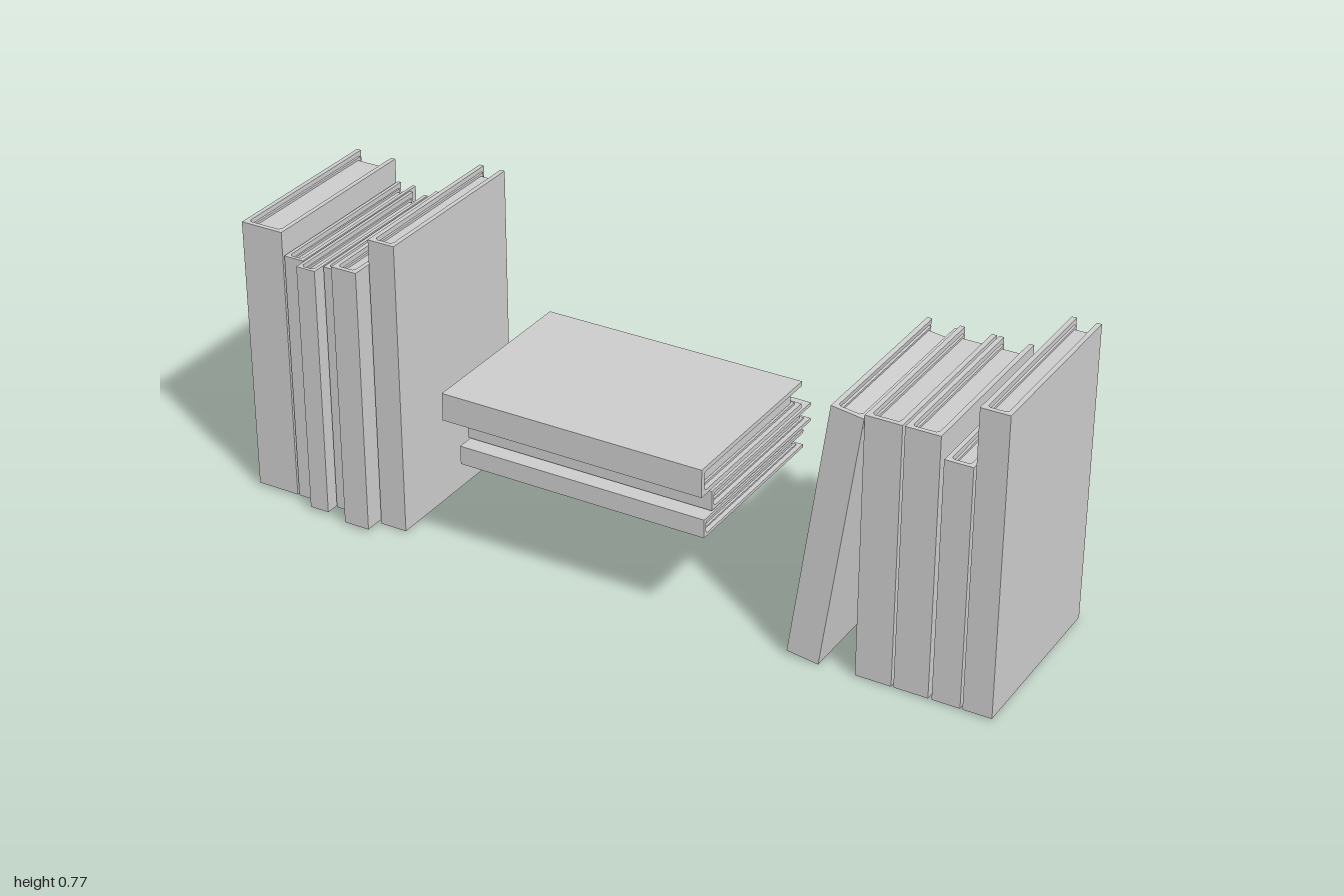
import * as THREE from 'three';

const material = new THREE.MeshStandardMaterial({ color: 0xcccccc, flatShading: true });
const DEPTH = 0.475;

// Wraps a plan outline (x, -z) into an upright prism centred on y = 0
function prism(points, height, name) {
  const shape = new THREE.Shape(points.map(([x, z]) => new THREE.Vector2(x, -z)));
  const geo = new THREE.ExtrudeGeometry(shape, { depth: height, bevelEnabled: false });
  geo.rotateX(-Math.PI / 2).translate(0, -height / 2, 0);
  const mesh = new THREE.Mesh(geo, material);
  mesh.name = name;
  return mesh;
}

// U-shaped band open towards -z, with chamfered inner corners at the spine
function band(w, front, back, t, height, name) {
  const o = w / 2, i = o - t, f = front - t, c = 0.006;
  return prism([
    [-o, back], [-o, front], [o, front], [o, back], [i, back],
    [i, f - c], [i - c, f], [-i + c, f], [-i, f - c], [-i, back],
  ], height, name);
}

// A hardback standing upright, spine to +z, centred on its own middle
function makeBook(w, h, name) {
  const book = new THREE.Group();
  book.name = name;
  const t = Math.min(0.012, w * 0.17);
  const gap = Math.min(0.006, w * 0.08);
  const front = DEPTH / 2, back = -DEPTH / 2;
  book.add(band(w, front, back, t, h, 'cover'));
  // endpapers line the cover, slightly short of its edges
  book.add(band(w - 2 * t, front - t, back + 0.012, gap, h - 0.024, 'endpapers'));
  // page block, set in from top, bottom and fore edge
  const pw = w - 2 * t - 2 * gap, pf = front - t - gap, pb = back + 0.022;
  const pages = new THREE.Mesh(new THREE.BoxGeometry(pw, h - 0.036, pf - pb), material);
  pages.name = 'pages';
  pages.position.z = (pf + pb) / 2;
  book.add(pages);
  return book;
}

export function createModel() {
  const model = new THREE.Group();
  model.name = 'books';

  // Upright books: x from, x to, bottom, top, spine z
  const upright = [
    [-1.0, -0.885, 0.01, 0.73, 0.212],
    [-0.88, -0.827, 0.01, 0.67, 0.212],
    [-0.823, -0.771, 0.01, 0.67, 0.243],
    [-0.767, -0.714, 0.01, 0.67, 0.212],
    [-0.709, -0.64, 0.01, 0.706, 0.26],
    [-0.634, -0.562, 0.005, 0.775, 0.214],
    [0.66, 0.751, 0.005, 0.68, 0.214],
    [0.757, 0.843, 0.005, 0.68, 0.214],
    [0.852, 0.922, 0.005, 0.626, 0.214],
    [0.928, 1.0, 0.005, 0.775, 0.214],
  ];
  upright.forEach(([x0, x1, y0, y1, z], i) => {
    const book = makeBook(x1 - x0, y1 - y0, `uprightBook${i + 1}`);
    book.position.set((x0 + x1) / 2, (y0 + y1) / 2, z - DEPTH / 2);
    model.add(book);
  });

  // Book leaning against the right-hand row
  const leaning = makeBook(0.082, 0.674, 'leaningBook');
  leaning.position.set(0.572, 0.341, 0.214 - DEPTH / 2);
  leaning.rotation.z = -0.138;
  model.add(leaning);

  // Books lying flat in the middle: x from, x to, bottom, top, spine z
  const flat = [
    [-0.372, 0.285, 0.268, 0.316, 0.247],
    [-0.372, 0.285, 0.322, 0.373, 0.212],
    [-0.41, 0.285, 0.381, 0.453, 0.26],
  ];
  flat.forEach(([x0, x1, y0, y1, z], i) => {
    const book = makeBook(y1 - y0, x1 - x0, `flatBook${i + 1}`);
    book.rotation.z = Math.PI / 2;
    book.position.set((x0 + x1) / 2, (y0 + y1) / 2, z - DEPTH / 2);
    model.add(book);
  });

  return model;
}
